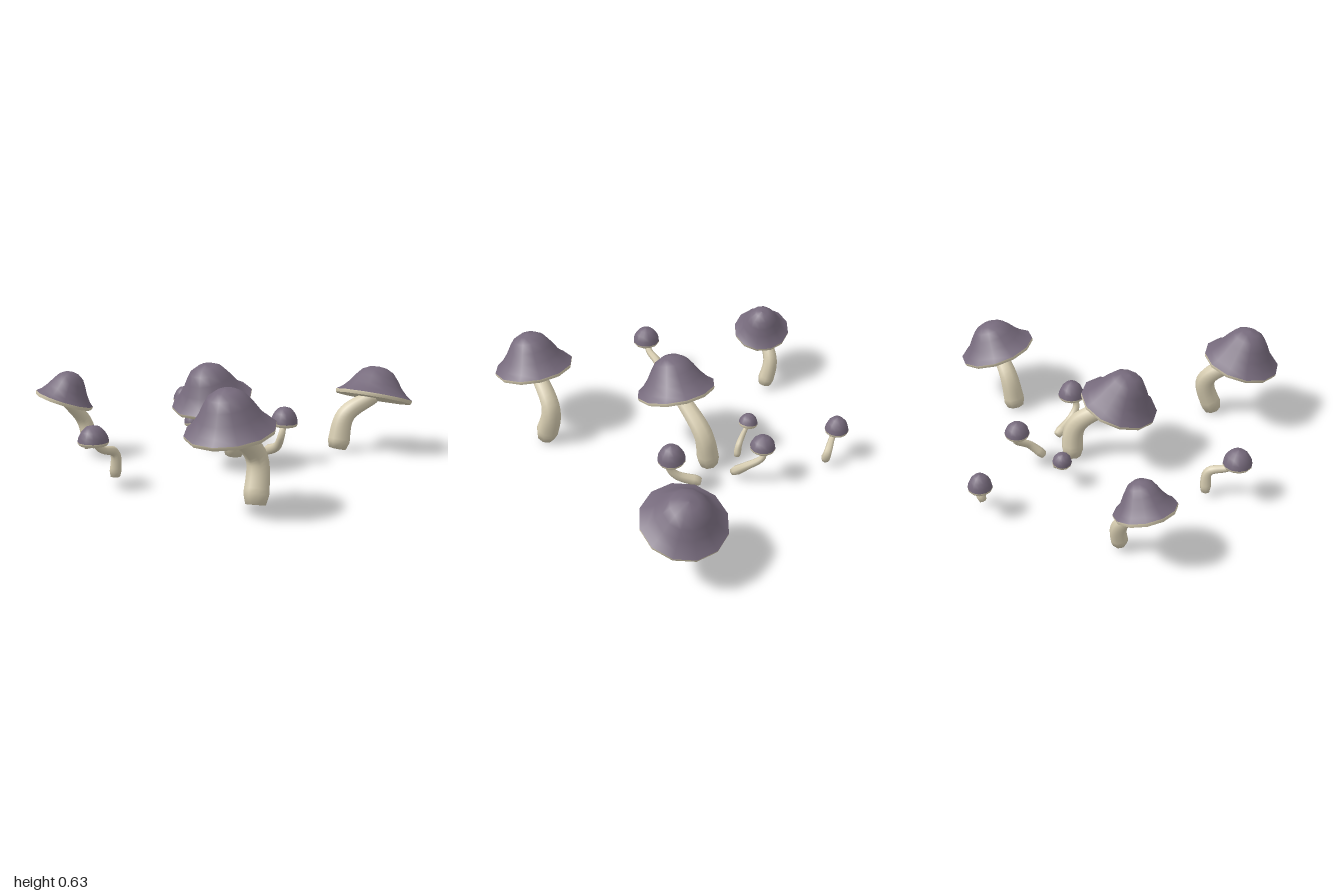
import * as THREE from 'three';
import { mergeVertices } from 'three/addons/utils/BufferGeometryUtils.js';

const capPaint = new THREE.MeshStandardMaterial({ color: 0x766a7c });
capPaint.name = 'dusky purple';
const fleshPaint = new THREE.MeshStandardMaterial({ color: 0xd6ccb0 });
fleshPaint.name = 'pale cream';

const UP = new THREE.Vector3(0, 1, 0);
const SIDES = 12;

// Two kinds: cap outline (fractions of radius and height), lip depth and
// inset, stem sides, foot radius as a share of the cap, and stem taper
const LARGE = {
  outline: [[1, 0], [0.85, 0.13], [0.69, 0.35], [0.55, 0.61], [0.41, 0.83], [0.22, 0.96], [0, 1]],
  lip: 0.02, inset: 0.98, stemSides: 8, foot: 0.3, taper: 0.64
};
const SMALL = {
  outline: [[1, 0], [0.93, 0.3], [0.75, 0.62], [0.45, 0.89], [0, 1]],
  lip: 0.018, inset: 0.9, stemSides: 7, foot: 0.42, taper: 0.5
};

// Tapered tube with a rounded, closed foot
function stemGeometry(points, foot, taper, sides) {
  const rows = 20;
  const curve = new THREE.CatmullRomCurve3(points.map(p => new THREE.Vector3(...p)));
  const geo = new THREE.TubeGeometry(curve, rows, 1, sides, false);
  const pos = geo.attributes.position, v = new THREE.Vector3();
  for (let row = 0; row <= rows; row++) {
    const t = row / rows;
    const centre = curve.getPointAt(t);
    const target = row === 1 ? curve.getPointAt(0) : centre;
    let radius = foot * (1 - (1 - taper) * t);
    if (row === 0) radius = 0;
    if (row === 1) radius *= 0.78;
    for (let s = 0; s <= sides; s++) {
      const i = row * (sides + 1) + s;
      v.fromBufferAttribute(pos, i).sub(centre).multiplyScalar(radius).add(target);
      pos.setXYZ(i, v.x, v.y, v.z);
    }
  }
  // Weld the seam so the shading stays smooth all round
  geo.deleteAttribute('uv');
  geo.deleteAttribute('normal');
  const welded = mergeVertices(geo, 1e-5);
  welded.computeVertexNormals();
  return welded;
}

function lathe(outline) {
  const pts = outline.map(([x, y]) => new THREE.Vector2(x, y));
  return new THREE.LatheGeometry(pts, SIDES, Math.PI / SIDES);
}

function addMesh(group, name, geometry, material) {
  const mesh = new THREE.Mesh(geometry, material);
  mesh.name = name;
  group.add(mesh);
}

// One mushroom: rim centre, cap radius and height, lean of the cap in x and z,
// then the stem from its foot through its bends (it ends inside the cap)
function makeMushroom(name, kind, centre, r, h, [leanX, leanZ], ...stem) {
  const { outline, lip, inset, stemSides, foot, taper } = kind;
  const mushroom = new THREE.Group();
  mushroom.name = name + 'Mushroom';
  const [x, y, z] = centre;
  const path = [...stem, [x, y - 0.005, z]];
  addMesh(mushroom, 'stem', stemGeometry(path, r * foot, taper, stemSides), fleshPaint);

  // Tilted head: coloured cap above, cream lip and underside below
  const head = new THREE.Group();
  head.name = 'head';
  head.position.set(x, y, z);
  head.quaternion.setFromUnitVectors(UP, new THREE.Vector3(leanX, 1, leanZ).normalize());
  addMesh(head, 'cap', lathe(outline.map(([u, v]) => [u * r, v * h])), capPaint);
  addMesh(head, 'underside', lathe([[0, -lip * 0.9], [r * (inset - 0.03), -lip], [r * inset, -lip]]), fleshPaint);
  addMesh(head, 'rim', lathe([[r * inset, -lip], [r, -lip * 0.4], [r, 0]]), fleshPaint);
  mushroom.add(head);
  return mushroom;
}

export function createModel() {
  const model = new THREE.Group();
  model.name = 'mushroomCluster';

  // Large bell-capped mushrooms, each stem with one bend
  model.add(
    makeMushroom('frontLeft', LARGE, [-0.775, 0.428, 0.69], 0.23, 0.205, [-0.2, 0],
      [-0.615, 0.012, 0.73], [-0.565, 0.24, 0.7]),
    makeMushroom('frontRight', LARGE, [0.77, 0.335, 0.61], 0.235, 0.175, [0.3, 0],
      [0.615, 0.015, 0.46], [0.66, 0.215, 0.485]),
    makeMushroom('centre', LARGE, [-0.145, 0.402, 0.09], 0.23, 0.205, [-0.31, 0],
      [0.13, 0.008, 0.04], [0.105, 0.22, 0.065]),
    makeMushroom('backLeft', LARGE, [-0.47, 0.345, -0.752], 0.172, 0.165, [0.27, 0.2],
      [-0.325, 0.028, -0.685], [-0.335, 0.19, -0.73])
  );

  // Small dome-capped mushrooms, each stem with two bends
  model.add(
    makeMushroom('left', SMALL, [-0.872, 0.258, -0.135], 0.083, 0.088, [0, 0],
      [-0.705, 0.03, -0.14], [-0.715, 0.165, -0.13], [-0.82, 0.205, -0.125]),
    makeMushroom('frontCentre', SMALL, [0.21, 0.232, 0.342], 0.08, 0.093, [0, 0.05],
      [0.26, 0.03, 0.185], [0.2, 0.09, 0.305], [0.18, 0.16, 0.345]),
    makeMushroom('right', SMALL, [0.41, 0.245, -0.138], 0.073, 0.071, [0, -0.05],
      [0.287, 0.025, -0.025], [0.37, 0.11, -0.055], [0.425, 0.18, -0.13]),
    makeMushroom('backCentre', SMALL, [0.11, 0.175, -0.25], 0.056, 0.056, [-0.1, -0.2],
      [0.185, 0.03, -0.12], [0.175, 0.1, -0.14], [0.125, 0.148, -0.22]),
    makeMushroom('backRight', SMALL, [0.475, 0.208, -0.62], 0.069, 0.082, [0, 0],
      [0.5, 0.035, -0.53], [0.52, 0.105, -0.53], [0.475, 0.16, -0.595])
  );
  return model;
}
